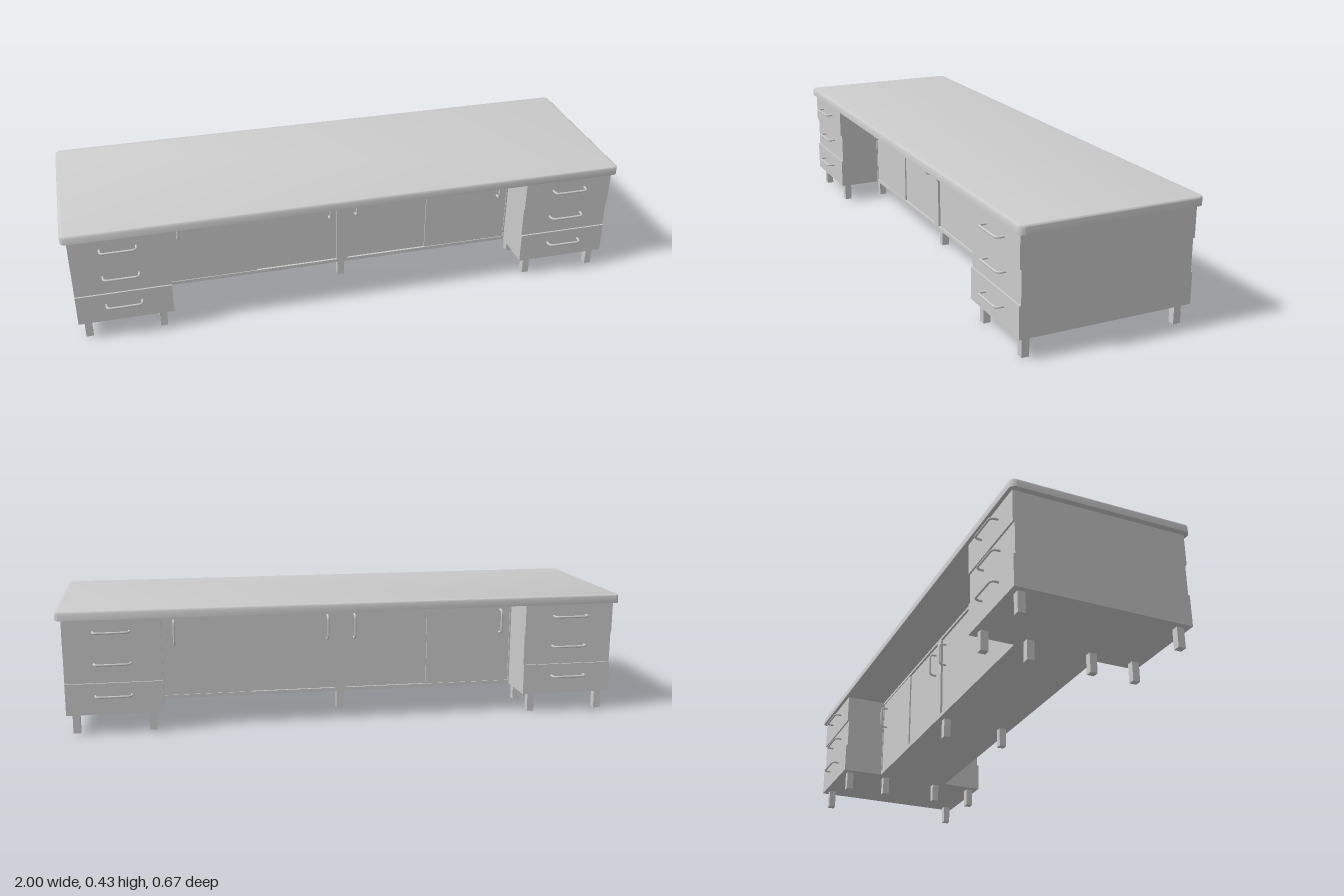
import * as THREE from 'three';
import { toCreasedNormals } from 'three/addons/utils/BufferGeometryUtils.js';

const material = new THREE.MeshStandardMaterial({ color: 0xcccccc });

function add(parent, name, geometry, x = 0, y = 0, z = 0) {
  const mesh = new THREE.Mesh(geometry, material);
  mesh.name = name;
  mesh.position.set(x, y, z);
  parent.add(mesh);
  return mesh;
}

// Box given by its limits on each axis
function block(parent, name, x0, x1, y0, y1, z0, z1) {
  return add(parent, name, new THREE.BoxGeometry(x1 - x0, y1 - y0, z1 - z0),
    (x0 + x1) / 2, (y0 + y1) / 2, (z0 + z1) / 2);
}

function rectangle(path, x0, y0, x1, y1) {
  path.moveTo(x0, y0);
  path.lineTo(x1, y0);
  path.lineTo(x1, y1);
  path.lineTo(x0, y1);
  path.closePath();
  return path;
}

// Rounded bar pull standing off a front
function handleGeometry(length, reach) {
  const h = length / 2, r = 0.016;
  const v = (x, z) => new THREE.Vector3(x, 0, z);
  const path = new THREE.CurvePath();
  path.add(new THREE.LineCurve3(v(-h, -0.002), v(-h, reach - r)));
  path.add(new THREE.QuadraticBezierCurve3(v(-h, reach - r), v(-h, reach), v(-h + r, reach)));
  path.add(new THREE.LineCurve3(v(-h + r, reach), v(h - r, reach)));
  path.add(new THREE.QuadraticBezierCurve3(v(h - r, reach), v(h, reach), v(h, reach - r)));
  path.add(new THREE.LineCurve3(v(h, reach - r), v(h, -0.002)));
  return new THREE.TubeGeometry(path, 48, 0.004, 10, false);
}

// Slab with rounded corners, eased top edge and flat underside
function tabletopGeometry() {
  const bevel = 0.008, r = 0.012, w = 1 - bevel, d = 0.318 - bevel;
  const shape = new THREE.Shape();
  shape.moveTo(-w + r, -d);
  shape.absarc(w - r, -d + r, r, -Math.PI / 2, 0);
  shape.absarc(w - r, d - r, r, 0, Math.PI / 2);
  shape.absarc(-w + r, d - r, r, Math.PI / 2, Math.PI);
  shape.absarc(-w + r, -d + r, r, Math.PI, Math.PI * 1.5);
  const geometry = new THREE.ExtrudeGeometry(shape, {
    depth: 0.031 - bevel, bevelSize: bevel, bevelThickness: bevel, bevelSegments: 4, curveSegments: 6,
  });
  geometry.rotateX(-Math.PI / 2);
  const p = geometry.attributes.position;
  for (let i = 0; i < p.count; i++) p.setY(i, Math.max(0, p.getY(i)));
  return toCreasedNormals(geometry, 0.6);
}

const drawerHandle = handleGeometry(0.122, 0.026);
const doorHandle = handleGeometry(0.086, 0.026);

// One long face: drawer fronts, door frame, sliding doors and pulls
function createFace() {
  const face = new THREE.Group();
  for (const s of [-1, 1]) {
    for (const [y0, y1, z] of [[0.07, 0.18, 0.305], [0.18, 0.292, 0.299], [0.292, 0.403, 0.305]]) {
      block(face, 'drawerFront', s * 0.815 - 0.165, s * 0.815 + 0.165, y0, y1, 0.285, z);
      add(face, 'drawerHandle', drawerHandle, s * 0.817, (y0 + y1) / 2 + 0.012, z);
    }
    // Outer door runs in front of the inner one
    const outer = [0.325 * s, 0.645 * s].sort((a, b) => a - b);
    const inner = [0.02 * s, 0.335 * s].sort((a, b) => a - b);
    block(face, 'outerDoor', ...outer, 0.083, 0.393, 0.125, 0.143);
    block(face, 'innerDoor', ...inner, 0.083, 0.393, 0.12, 0.138);
    add(face, 'doorHandle', doorHandle, s * 0.606, 0.315, 0.143).rotation.z = Math.PI / 2;
    add(face, 'doorHandle', doorHandle, s * 0.05, 0.315, 0.138).rotation.z = Math.PI / 2;
  }
  const frame = rectangle(new THREE.Shape(), -0.65, 0.07, 0.65, 0.403);
  frame.holes.push(rectangle(new THREE.Path(), 0.02, 0.083, 0.645, 0.393));
  frame.holes.push(rectangle(new THREE.Path(), -0.645, 0.083, -0.02, 0.393));
  add(face, 'doorFrame', new THREE.ExtrudeGeometry(frame, { depth: 0.026, bevelEnabled: false }), 0, 0, 0.12);
  return face;
}

export function createModel() {
  const model = new THREE.Group();
  model.name = 'workBench';

  add(model, 'tabletop', tabletopGeometry(), 0, 0.403, 0);

  // Cabinet carcasses
  block(model, 'middleCabinet', -0.65, 0.65, 0.07, 0.403, -0.12, 0.12);
  for (const s of [-1, 1]) {
    block(model, 'drawerPedestal', s * 0.815 - 0.165, s * 0.815 + 0.165, 0.07, 0.403, -0.285, 0.285);
  }

  // Matching front and back
  for (const [name, turn] of [['frontFace', 0], ['backFace', Math.PI]]) {
    const face = createFace();
    face.name = name;
    face.rotation.y = turn;
    model.add(face);
  }

  // Legs
  const leg = new THREE.BoxGeometry(0.025, 0.072, 0.026);
  const spots = [[0, 0.113]];
  for (const s of [-1, 1]) spots.push([s * 0.688, 0.113], [s * 0.688, 0.272], [s * 0.948, 0.272]);
  for (const [x, z] of spots) {
    for (const s of [-1, 1]) add(model, 'leg', leg, x, 0.036, s * z);
  }
  return model;
}
